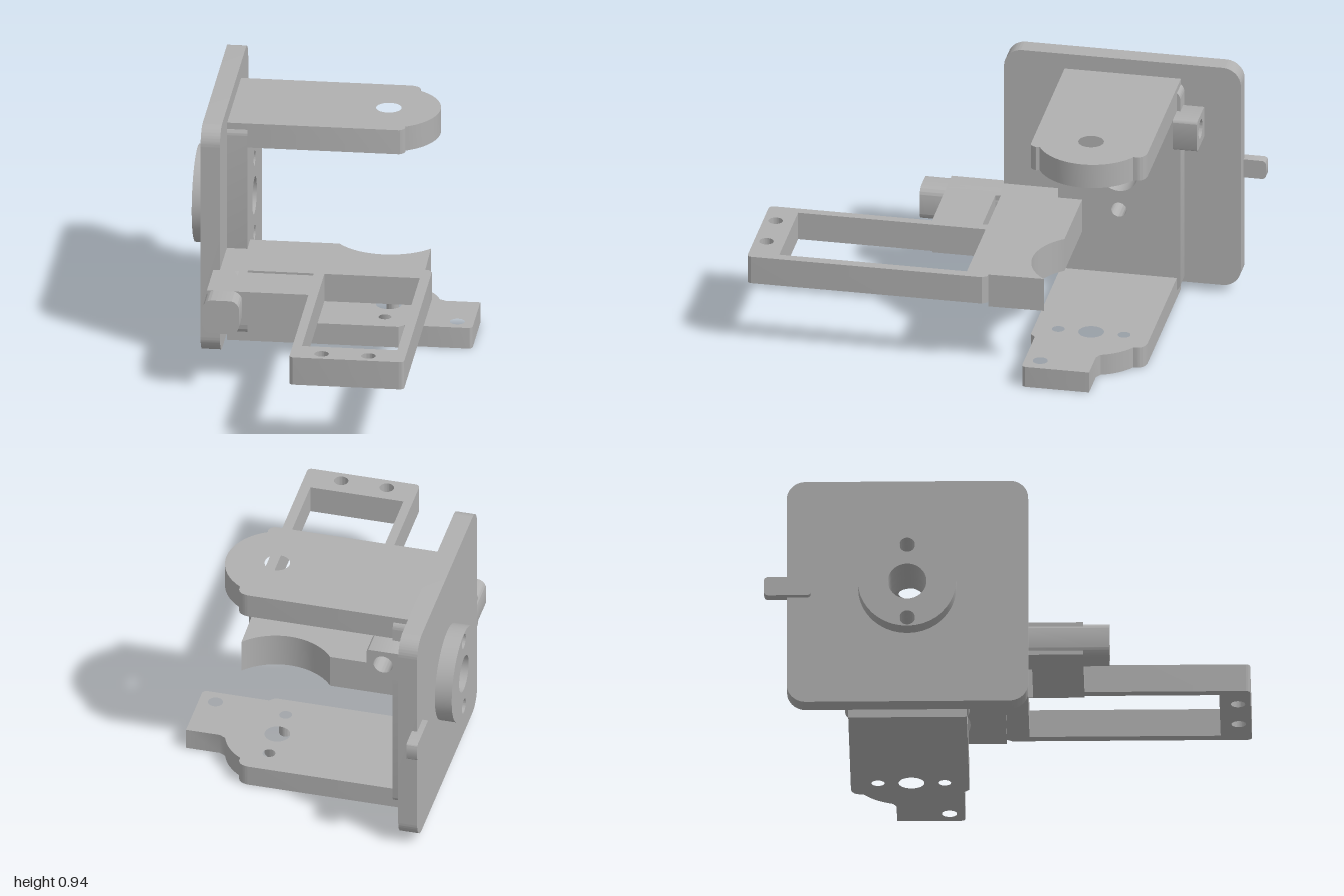
import * as THREE from 'three';
import { toCreasedNormals } from 'three/addons/utils/BufferGeometryUtils.js';

const grey = new THREE.MeshStandardMaterial({ color: 0xb0b0b0 });
grey.name = 'grey';

export function createModel() {
  const model = new THREE.Group();
  model.name = 'pivotBracket';
  // The whole assembly is turned about the vertical axis
  const body = new THREE.Group();
  body.name = 'assembly';
  body.rotation.y = -0.37;
  model.add(body);

  const extrude = (shape, depth) => new THREE.ExtrudeGeometry(shape, { depth, bevelEnabled: false, curveSegments: 20 });
  const add = (name, geo) => {
    const mesh = new THREE.Mesh(toCreasedNormals(geo, 0.6), grey);
    mesh.name = name;
    body.add(mesh);
  };
  // Horizontal slab: shape drawn in (x, z)
  const slab = (name, shape, y0, y1) =>
    add(name, extrude(shape, y1 - y0).rotateX(Math.PI / 2).translate(0, y1, 0));
  // Upright plate: shape drawn in (z, y)
  const upright = (name, shape, x0, x1) =>
    add(name, extrude(shape, x1 - x0).rotateY(-Math.PI / 2).translate(x1, 0, 0));
  // Part running along z: shape drawn in (x, y)
  const along = (name, shape, z0, z1) => add(name, extrude(shape, z1 - z0).translate(0, 0, z0));

  const roundRect = (x0, y0, x1, y1, r) => {
    const s = new THREE.Shape();
    s.moveTo(x0 + r, y0);
    s.lineTo(x1 - r, y0);
    s.absarc(x1 - r, y0 + r, r, -Math.PI / 2, 0, false);
    s.lineTo(x1, y1 - r);
    s.absarc(x1 - r, y1 - r, r, 0, Math.PI / 2, false);
    s.lineTo(x0 + r, y1);
    s.absarc(x0 + r, y1 - r, r, Math.PI / 2, Math.PI, false);
    s.lineTo(x0, y0 + r);
    s.absarc(x0 + r, y0 + r, r, Math.PI, Math.PI * 1.5, false);
    return s;
  };
  const drill = (shape, ...holes) => {
    for (const [x, y, r] of holes) shape.holes.push(new THREE.Path().absarc(x, y, r, 0, Math.PI * 2, true));
    return shape;
  };
  const rectHole = (shape, x0, y0, x1, y1) => {
    shape.holes.push(new THREE.Path([[x0, y0], [x0, y1], [x1, y1], [x1, y0]].map(p => new THREE.Vector2(...p))));
    return shape;
  };

  // Back plate, inner plate and round boss share one bore and two screw holes
  const bores = [[-0.34, 0.497, 0.072], [-0.34, 0.647, 0.029], [-0.34, 0.347, 0.029]];
  upright('backPlate', drill(roundRect(-0.79, 0.032, 0.112, 0.938, 0.07), ...bores), -0.513, -0.44);
  upright('innerPlate', drill(roundRect(-0.575, 0.025, -0.108, 0.862, 0.035), ...bores), -0.44, -0.363);
  const boss = new THREE.Shape().absarc(-0.34, 0.497, 0.184, 0, Math.PI * 2, false);
  upright('backBoss', drill(boss, ...bores), -0.578, -0.513);

  // Small pointer tab on the back plate
  upright('pointerTab', roundRect(-0.875, 0.462, -0.7, 0.537, 0.015), -0.535, -0.493);

  // Upper and lower arms: same rounded nose, the lower one with an end tab
  const armShape = (withTab) => {
    const s = new THREE.Shape();
    s.moveTo(-0.44, -0.118);
    s.lineTo(0.205, -0.118);
    if (withTab) {
      s.lineTo(0.225, -0.137);
      s.lineTo(0.46, -0.137);
      s.quadraticCurveTo(0.48, -0.137, 0.48, -0.157);
      s.lineTo(0.48, -0.394);
      s.lineTo(0.35, -0.394);
      s.absarc(0.13, -0.34, 0.207, -0.33, -1.01, true);
    } else {
      s.quadraticCurveTo(0.22, -0.12, 0.228, -0.143);
      s.absarc(0.13, -0.34, 0.207, 1.1, -1.01, true);
    }
    s.lineTo(0.24, -0.53);
    s.quadraticCurveTo(0.235, -0.56, 0.195, -0.562);
    s.lineTo(-0.44, -0.562);
    return s;
  };
  slab('upperArm', drill(armShape(false), [0.143, -0.335, 0.048]), 0.78, 0.877);
  slab('lowerArm', drill(armShape(true), [0.143, -0.335, 0.048], [0.143, -0.21, 0.024],
    [0.143, -0.46, 0.024], [0.417, -0.196, 0.028]), 0, 0.083);

  // Drilled block on the end of the inner plate
  along('drilledBlock', drill(roundRect(-0.425, 0.656, -0.283, 0.78, 0.01), [-0.347, 0.722, 0.037]), -0.655, -0.562);

  // Middle bracket with a curved clearance cut and a narrow slot
  const bracket = new THREE.Shape();
  bracket.moveTo(-0.465, -0.2);
  bracket.lineTo(-0.026, -0.2);
  bracket.absarc(0.15, -0.335, 0.222, 2.487, 0.711, true);
  bracket.lineTo(0.322, 0.02);
  bracket.lineTo(-0.083, 0.02);
  bracket.lineTo(-0.083, 0.316);
  bracket.lineTo(-0.465, 0.316);
  slab('middleBracket', rectHole(bracket, -0.336, 0.104, -0.088, 0.124), 0.242, 0.375);
  along('bracketLeg', roundRect(-0.47, 0.242, -0.333, 0.375, 0.035), 0.112, 0.414);

  // Long open frame with two screw holes at its end
  const frame = new THREE.Shape();
  frame.moveTo(-0.083, 0.02);
  frame.lineTo(0.335, 0.02);
  frame.lineTo(0.349, 0.04);
  frame.lineTo(0.349, 0.915);
  frame.quadraticCurveTo(0.349, 0.935, 0.329, 0.935);
  frame.lineTo(-0.063, 0.935);
  frame.quadraticCurveTo(-0.083, 0.935, -0.083, 0.915);
  rectHole(frame, -0.048, 0.104, 0.311, 0.819);
  slab('openFrame', drill(frame, [0.034, 0.888, 0.027], [0.21, 0.888, 0.027]), 0.265, 0.375);

  return model;
}
